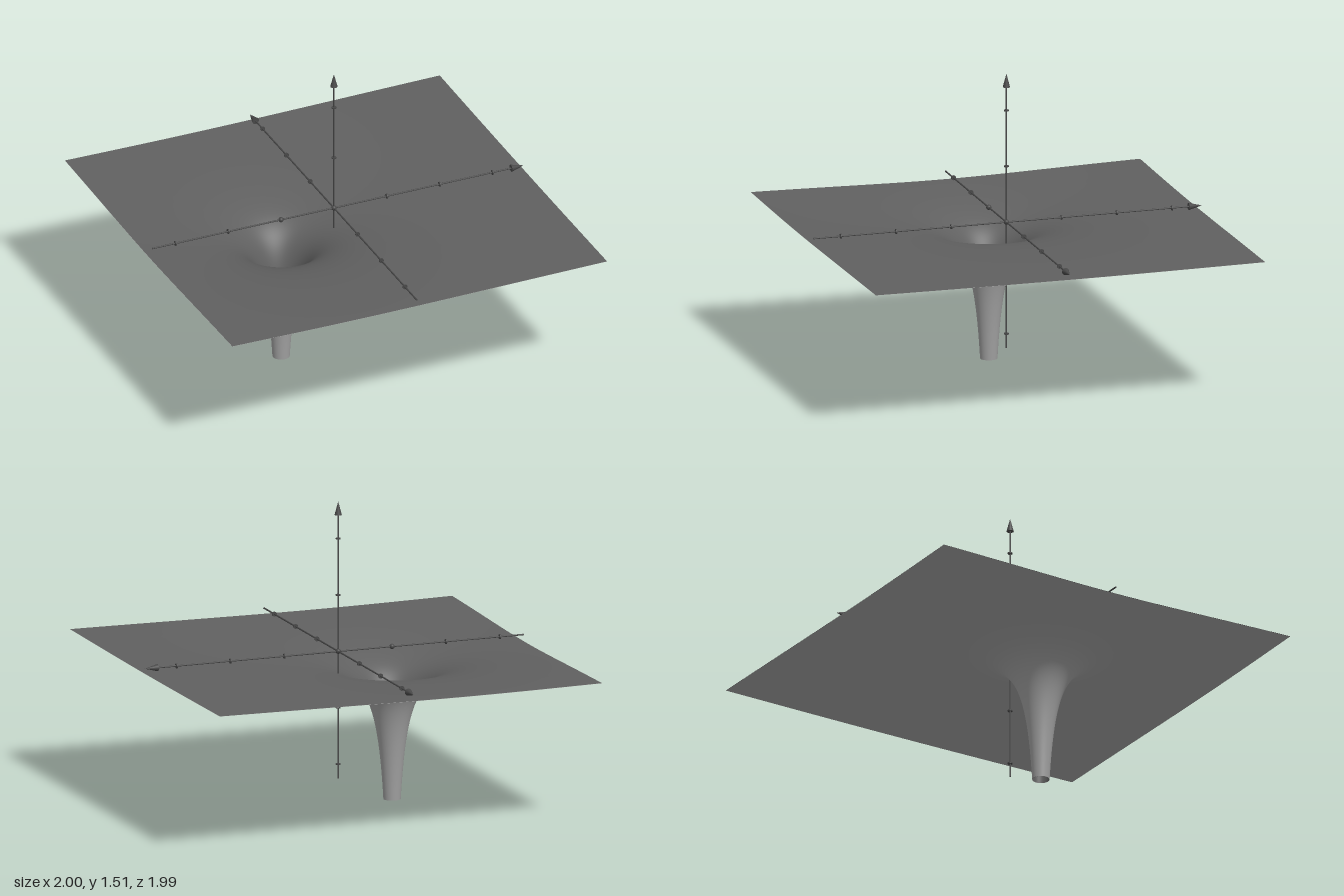
import * as THREE from 'three';

const grey = (color) => new THREE.MeshStandardMaterial({ color, side: THREE.DoubleSide });
const axisMaterial = grey(0x484848);
const topMaterial = grey(0x606060);
const undersideMaterial = grey(0xa0a0a0);

const LEVEL = 0.762;              // height of the horizontal axes
const CENTRE_Z = 0.004;           // depth of the well and the axes
const WELL_X = -0.295;            // centre of the well
const HALF_X = 1, HALF_Z = 0.995; // half size of the sheet
const ORIGIN = new THREE.Vector3(-0.013, LEVEL, CENTRE_Z);
const TICK = 0.282;               // spacing of the axis ticks

// Square sheet sinking as 1/r into a funnel whose open lower end has the given radius
function wellGeometry(radius, perSide = 40, rings = 56) {
  const corners = [[1, 1], [-1, 1], [-1, -1], [1, -1]]
    .map(([sx, sz]) => Math.atan2(sz * HALF_Z - CENTRE_Z, sx * HALF_X - WELL_X));
  const positions = [], indices = [];
  const n = perSide * 4;
  for (let side = 0; side < 4; side++) {
    const a0 = corners[side];
    let a1 = corners[(side + 1) % 4];
    if (a1 < a0) a1 += Math.PI * 2;
    for (let i = 0; i < perSide; i++) {
      const a = a0 + (a1 - a0) * i / perSide;
      const c = Math.cos(a), s = Math.sin(a);
      // distance from the well to the sheet's border in this direction
      const reach = Math.min(
        (HALF_X - Math.sign(c) * WELL_X) / Math.max(Math.abs(c), 1e-6),
        (HALF_Z - Math.sign(s) * CENTRE_Z) / Math.max(Math.abs(s), 1e-6));
      for (let j = 0; j <= rings; j++) {
        const r = radius * Math.pow(reach / radius, j / rings);
        positions.push(WELL_X + r * c, LEVEL * (1 - radius / r), CENTRE_Z + r * s);
      }
    }
  }
  const row = rings + 1;
  for (let i = 0; i < n; i++) {
    for (let j = 0; j < rings; j++) {
      const a = i * row + j, b = ((i + 1) % n) * row + j;
      indices.push(a, b, b + 1, a, b + 1, a + 1);
    }
  }
  const geometry = new THREE.BufferGeometry();
  geometry.setAttribute('position', new THREE.Float32BufferAttribute(positions, 3));
  geometry.setIndex(indices);
  geometry.computeVertexNormals();
  return geometry;
}

function addMesh(parent, name, geometry, material, x = 0, y = 0, z = 0) {
  const mesh = new THREE.Mesh(geometry, material);
  mesh.name = name;
  mesh.position.set(x, y, z);
  parent.add(mesh);
}

// Axis along its local +y: shaft from start to tip, arrowhead and ticks
function makeAxis(name, start, tip, ticks) {
  const axis = new THREE.Group();
  axis.name = name;
  const head = 0.068;
  const length = tip - head - start;
  addMesh(axis, 'shaft', new THREE.CylinderGeometry(0.004, 0.004, length, 12), axisMaterial, 0, start + length / 2);
  addMesh(axis, 'arrowhead', new THREE.ConeGeometry(0.018, head, 20), axisMaterial, 0, tip - head / 2);
  for (const t of ticks) {
    addMesh(axis, 'tick', new THREE.CylinderGeometry(0.012, 0.012, 0.006, 16), axisMaterial, 0, t * TICK);
  }
  axis.position.copy(ORIGIN);
  return axis;
}

export function createModel() {
  const model = new THREE.Group();
  model.name = 'potentialWell';

  // Sheet: dark upper skin nested in a lighter, slightly wider lower skin
  addMesh(model, 'wellSheetTop', wellGeometry(0.041), topMaterial);
  addMesh(model, 'wellSheetUnderside', wellGeometry(0.0425), undersideMaterial);

  // Axes: x to the right, z to the back, y up
  const across = [-3, -2, -1, 1, 2, 3];
  const xAxis = makeAxis('xAxis', -0.97, 1.013, across);
  xAxis.rotation.z = -Math.PI / 2;
  const depthAxis = makeAxis('depthAxis', -0.985, 0.999, across);
  depthAxis.rotation.x = -Math.PI / 2;
  const upAxis = makeAxis('upAxis', -0.635, 0.75, [-2, -1, 1, 2]);
  model.add(xAxis, depthAxis, upAxis);

  // Small balls at the origin and above the well
  const ball = new THREE.SphereGeometry(0.013, 20, 14);
  addMesh(model, 'originBall', ball, axisMaterial, ORIGIN.x, LEVEL, CENTRE_Z);
  addMesh(model, 'wellBall', ball, axisMaterial, WELL_X, LEVEL, CENTRE_Z);

  return model;
}
